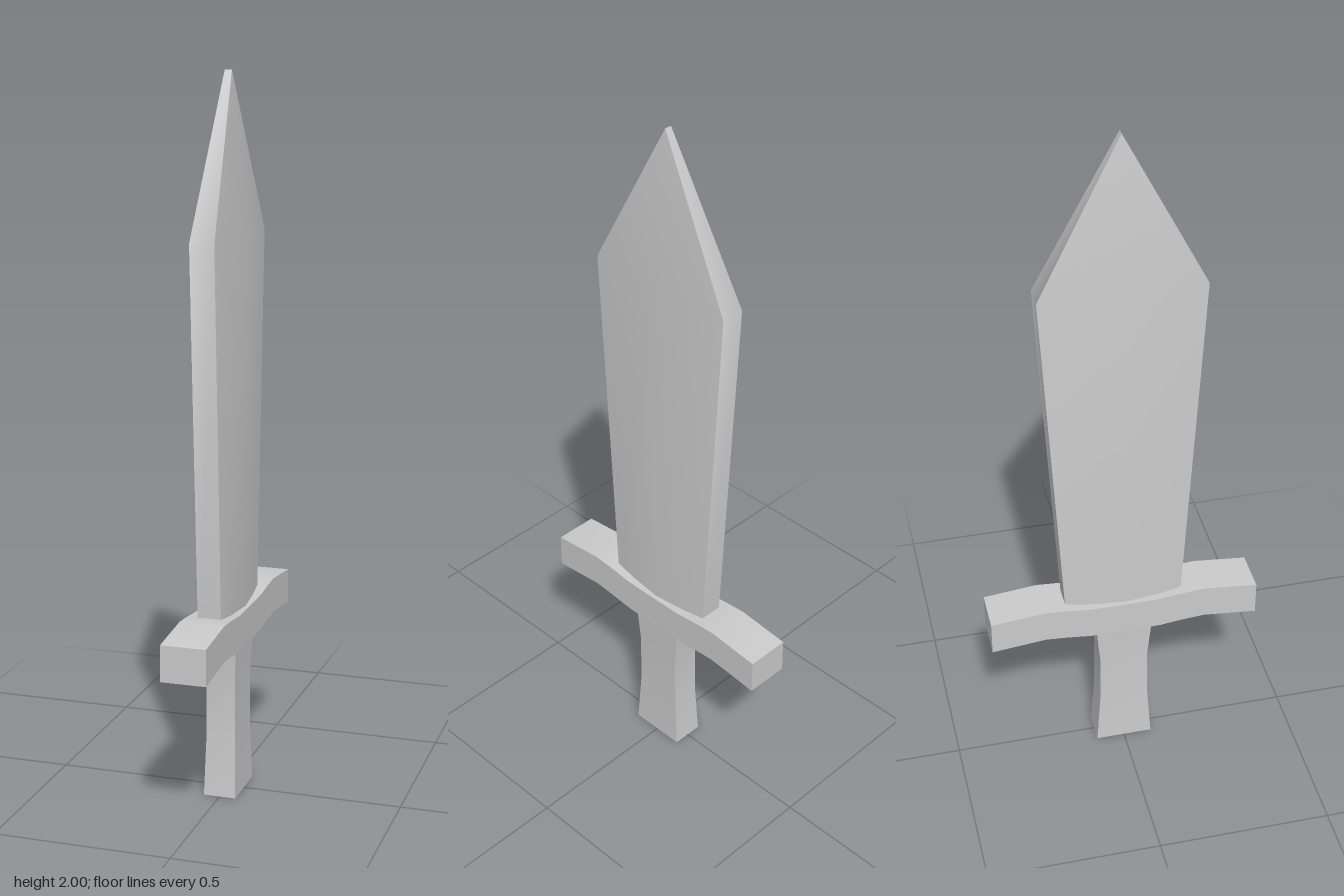
import * as THREE from 'three';
import { toCreasedNormals } from 'three/addons/utils/BufferGeometryUtils.js';

const material = new THREE.MeshStandardMaterial({ color: 0xcccccc });

// Joins rings of [x, y, z] points (same count, bottom to top) and caps both ends
function loft(rings, crease) {
  const pos = [];
  const v = (p) => new THREE.Vector3(...p);
  const tri = (a, b, c) => {
    const area = v(b).sub(v(a)).cross(v(c).sub(v(a))).length();
    if (area > 1e-7) pos.push(...a, ...b, ...c);
  };
  const n = rings[0].length;
  for (let r = 0; r < rings.length - 1; r++) {
    for (let i = 0; i < n; i++) {
      const j = (i + 1) % n, lo = rings[r], hi = rings[r + 1];
      tri(lo[i], lo[j], hi[j]);
      tri(lo[i], hi[j], hi[i]);
    }
  }
  const bottom = rings[0], top = rings[rings.length - 1];
  for (let i = 1; i < n - 1; i++) {
    tri(bottom[0], bottom[i + 1], bottom[i]);
    tri(top[0], top[i], top[i + 1]);
  }
  const g = new THREE.BufferGeometry();
  g.setAttribute('position', new THREE.Float32BufferAttribute(pos, 3));
  g.computeVertexNormals();
  return toCreasedNormals(g, crease);
}

export function createModel() {
  const group = new THREE.Group();
  const add = (name, geometry) => {
    const mesh = new THREE.Mesh(geometry, material);
    mesh.name = name;
    group.add(mesh);
  };

  // Blade: six-sided section with a soft centre ridge, narrowing to a short tip edge
  const bladeRing = ([y, w, edge, ridge]) => [
    [-edge, y, w], [edge, y, w], [ridge, y, 0],
    [edge, y, -w], [-edge, y, -w], [-ridge, y, 0],
  ];
  add('blade', loft([
    [0.5, 0.168, 0.033, 0.05],
    [1.565, 0.226, 0.034, 0.058],
    [2, 0, 0.01, 0.01],
  ].map(bladeRing), 0.6));

  // Crossguard: wavy bar profile, mirrored and extruded across the thickness
  const half = [[0, 0.54], [0.1, 0.541], [0.18, 0.55], [0.235, 0.554], [0.39, 0.538]];
  const upper = [...half.slice(1).reverse().map(([z, y]) => [-z, y]), ...half];
  const lower = upper.map(([z, y]) => [z, y - 0.101]).reverse();
  const shape = new THREE.Shape([...upper, ...lower].map((p) => new THREE.Vector2(...p)));
  const guard = new THREE.ExtrudeGeometry(shape, { depth: 0.126, bevelEnabled: false });
  guard.translate(0, 0, -0.063).rotateY(Math.PI / 2);
  add('crossguard', toCreasedNormals(guard, 0.3));

  // Grip: rectangular section with a slight waist
  const gripRing = ([y, x, z]) => [[-x, y, z], [x, y, z], [x, y, -z], [-x, y, -z]];
  add('grip', loft([
    [0, 0.046, 0.083],
    [0.16, 0.042, 0.072],
    [0.32, 0.042, 0.071],
    [0.46, 0.047, 0.084],
  ].map(gripRing), 0.5));

  return group;
}
